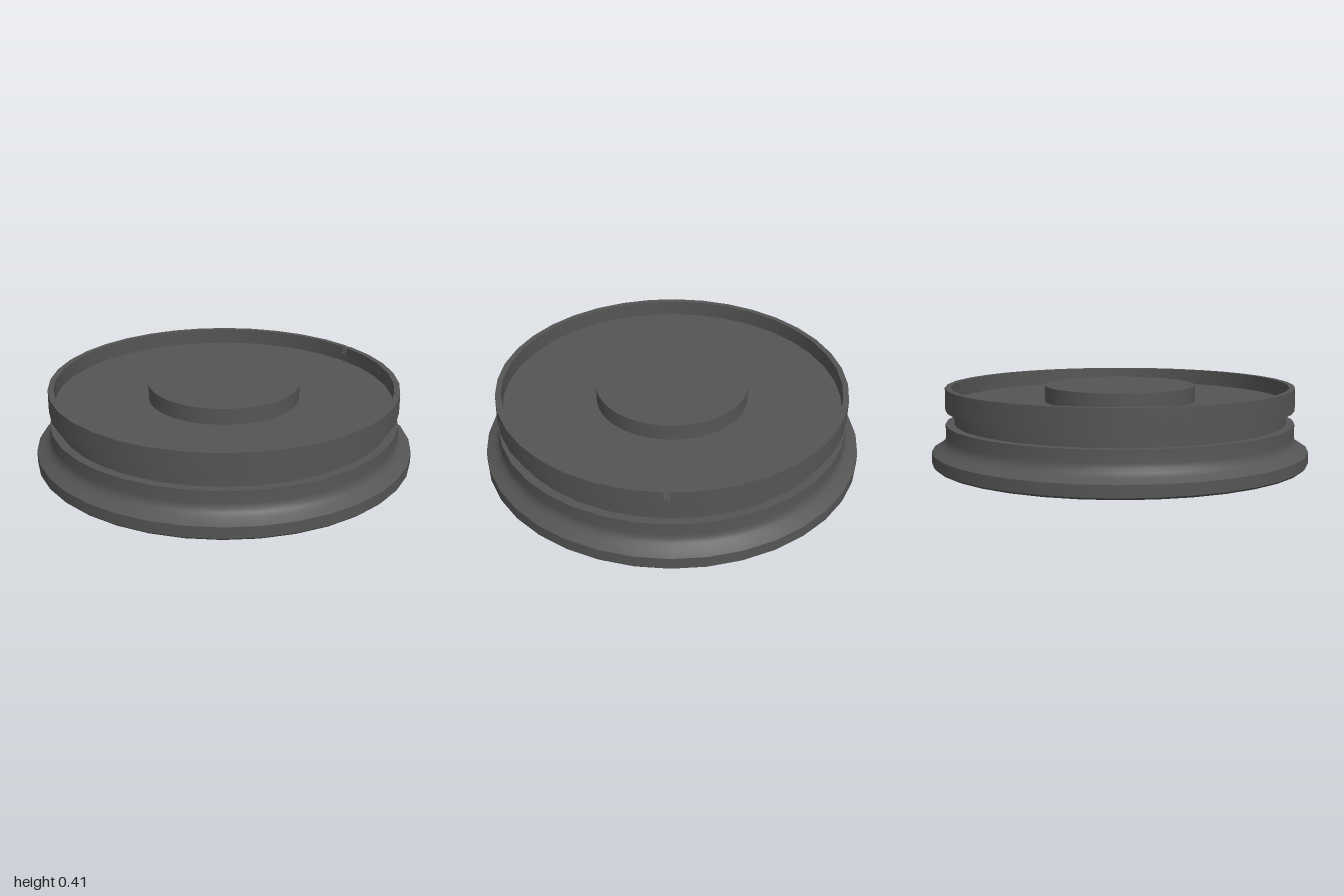
import * as THREE from 'three';
import { toCreasedNormals } from 'three/addons/utils/BufferGeometryUtils.js';

const SIDES = 36;
const material = new THREE.MeshStandardMaterial({ color: 0x555555 });

export function createModel() {
  const group = new THREE.Group();

  const add = (name, geometry) => {
    const mesh = new THREE.Mesh(geometry, material);
    mesh.name = name;
    group.add(mesh);
    return mesh;
  };
  const turned = (points, start = 0, sweep = Math.PI * 2) => toCreasedNormals(
    new THREE.LatheGeometry(points.map(([r, y]) => new THREE.Vector2(r, y)), SIDES, start, sweep), 0.5);

  // Body: flared flange, ring groove, upper wall and sunken top floor
  const ledge = 0.36;
  add('body', turned([
    [0.99, 0], [1, 0.01], [1, 0.07], [0.96, 0.093], [0.94, 0.11], [0.928, 0.13], [0.925, 0.15],
    [0.925, 0.215], [0.88, 0.215], [0.88, 0.287], [0.925, 0.287], [0.925, ledge],
    [0.895, ledge], [0.895, 0.32], [0, 0.32],
  ]));

  // Rim, broken by a narrow notch at the back
  const gap = 0.032;
  const middle = Math.PI - 0.02;
  add('rim', turned([[0.925, ledge], [0.925, 0.405], [0.895, 0.405], [0.895, ledge]],
    middle + gap / 2, Math.PI * 2 - gap));
  for (const offset of [-0.017, 0, 0.017]) {
    add('notchTab', new THREE.BoxGeometry(0.005, 0.405 - ledge, 0.029))
      .position.set(0.018 + offset, (0.405 + ledge) / 2, -0.91);
  }

  // Raised disc in the middle of the top
  add('centreDisc', new THREE.CylinderGeometry(0.4, 0.4, 0.085, 72)).position.y = 0.3625;

  // Underside plate, with a pocket behind each opening
  const plate = new THREE.Shape().absarc(0, 0, 0.99, 0, Math.PI * 2);
  const pocket = (name, distance, degrees, radius, depth) => {
    const angle = THREE.MathUtils.degToRad(degrees);
    const x = distance * Math.cos(angle), z = distance * Math.sin(angle);
    plate.holes.push(new THREE.Path().absarc(x, z, radius, 0, Math.PI * 2, true));
    add(name, turned([[0, depth], [radius, depth], [radius, 0]])).position.set(x, 0, z);
  };
  pocket('centreRecess', 0, 0, 0.5, 0.09);
  for (let i = 0; i < 12; i++) pocket('boltHole', 0.8, 15 + 30 * i, 0.06, 0.12);
  pocket('pinHole', 0.8, 0, 0.043, 0.12);
  for (const a of [15, 45, 75, 135, 165, 255, 285, 315]) pocket('innerDimple', 0.62, a, 0.077, 0.01);
  for (const a of [30, 90, 120, 180, 210, 240, 270, 330]) pocket('outerDimple', 0.71, a, 0.077, 0.01);
  add('underside', new THREE.ShapeGeometry(plate, SIDES).rotateX(Math.PI / 2));

  return group;
}
